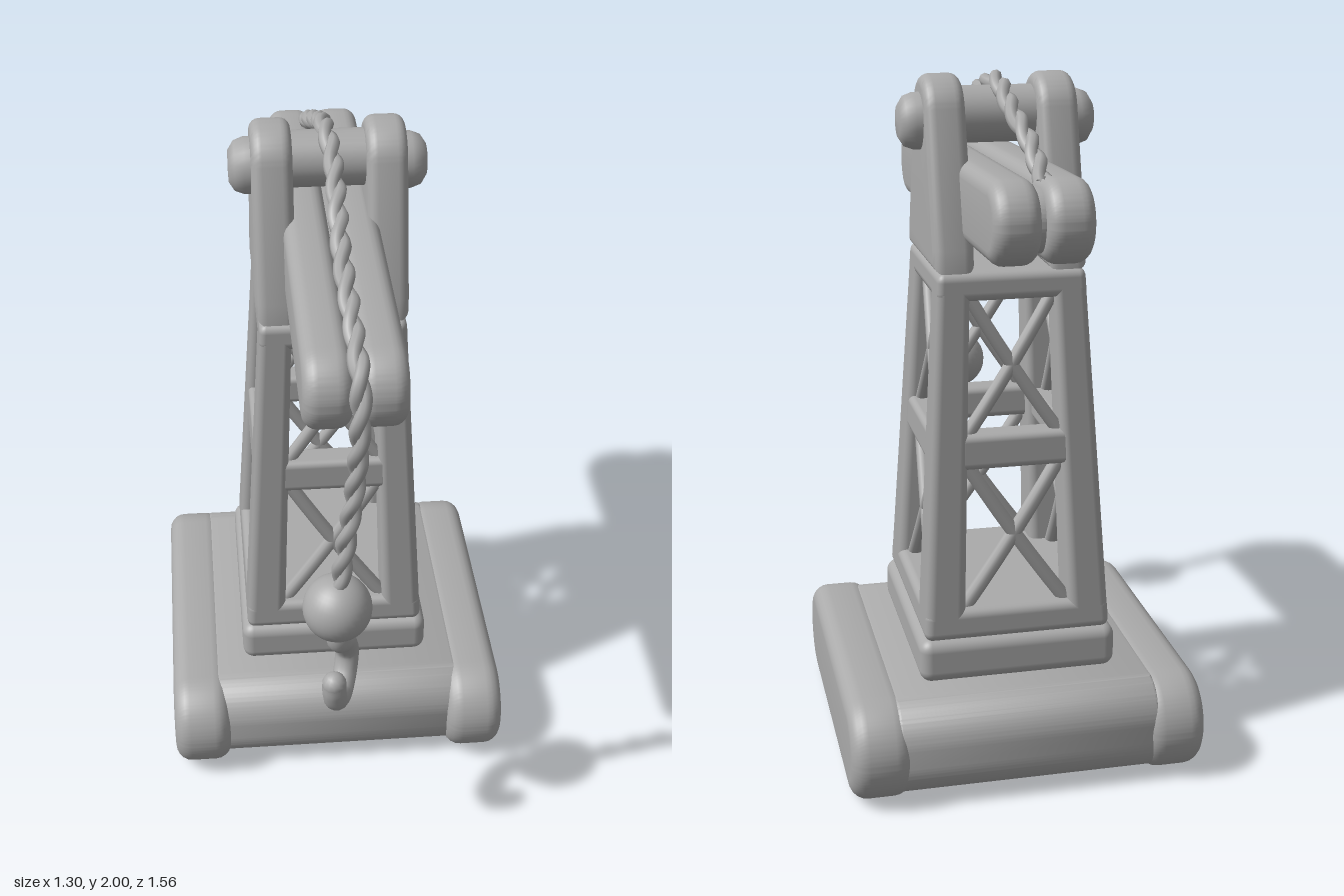
import * as THREE from 'three';
import { toCreasedNormals } from 'three/addons/utils/BufferGeometryUtils.js';
import { RoundedBoxGeometry } from 'three/addons/geometries/RoundedBoxGeometry.js';

const grey = new THREE.MeshStandardMaterial({ color: 0xaaaaaa });
grey.name = 'grey plastic';

function add(parent, name, geometry, x = 0, y = 0, z = 0) {
  const mesh = new THREE.Mesh(geometry, grey);
  mesh.name = name;
  mesh.position.set(x, y, z);
  parent.add(mesh);
  return mesh;
}

// Side outline (z, y) made into a slab of the given x width with rounded edges
function slab(shape, width, bevel) {
  const g = new THREE.ExtrudeGeometry(shape, {
    depth: width - 2 * bevel, bevelSize: bevel, bevelThickness: bevel,
    bevelOffset: -bevel, bevelSegments: 5, curveSegments: 20,
  });
  g.translate(0, 0, -(width / 2 - bevel));
  g.rotateY(-Math.PI / 2);
  return toCreasedNormals(g, 0.7);
}

// Bar with round ends, lying along z
function roundBar(length, height, width, bevel, r = height / 2 - 0.001) {
  const a = length / 2, b = height / 2, s = new THREE.Shape();
  s.absarc(a - r, b - r, r, 0, Math.PI / 2);
  s.absarc(-a + r, b - r, r, Math.PI / 2, Math.PI);
  s.absarc(-a + r, -b + r, r, Math.PI, Math.PI * 1.5);
  s.absarc(a - r, -b + r, r, Math.PI * 1.5, Math.PI * 2);
  return slab(s, width, bevel);
}

// Cylinder between two points
function strut(a, b, r) {
  const d = b.clone().sub(a);
  const g = new THREE.CylinderGeometry(r, r, d.length(), 10, 6);
  g.applyQuaternion(new THREE.Quaternion().setFromUnitVectors(new THREE.Vector3(0, 1, 0), d.normalize()));
  return g.translate((a.x + b.x) / 2, (a.y + b.y) / 2, (a.z + b.z) / 2);
}

// Narrow a tower part towards the top
function taper(g) {
  const p = g.attributes.position;
  for (let i = 0; i < p.count; i++) {
    const t = (p.getY(i) - 0.42) / 1.06;
    p.setXYZ(i, p.getX(i) * (1 - 0.236 * t), p.getY(i), p.getZ(i) * (1 - 0.277 * t));
  }
  return g;
}

function buildTower(crane) {
  const tower = new THREE.Group();
  tower.name = 'tower';
  crane.add(tower);
  const HX = 0.275, HZ = 0.325, OX = 0.155, OZ = 0.175;
  const box = (name, w, h, d, x, y, z, r) =>
    add(tower, name, taper(new RoundedBoxGeometry(w, h, d, 3, r).translate(x, y, z)));

  for (const sx of [-1, 1]) for (const sz of [-1, 1]) {
    box('cornerPost', HX - OX, 1.06, HZ - OZ, sx * (HX + OX) / 2, 0.95, sz * (HZ + OZ) / 2, 0.028);
  }
  box('towerFoot', HX * 2, 0.09, HZ * 2, 0, 0.465, 0, 0.025);
  box('towerCap', HX * 2, 0.08, HZ * 2, 0, 1.44, 0, 0.025);
  for (const s of [-1, 1]) {
    box('middleBand', OX * 2 + 0.06, 0.1, 0.1, 0, 0.97, s * (HZ - 0.055), 0.02);
    box('middleBand', 0.1, 0.1, OZ * 2 + 0.06, s * (HX - 0.055), 0.97, 0, 0.02);
    // Crossed braces in each window
    for (const [y0, y1] of [[0.5, 0.93], [1.01, 1.41]]) for (const m of [-1, 1]) {
      const zf = s * (HZ - 0.05), xf = s * (HX - 0.05);
      add(tower, 'crossBrace', taper(strut(
        new THREE.Vector3(-m * OX, y0, zf), new THREE.Vector3(m * OX, y1, zf), 0.022)));
      add(tower, 'crossBrace', taper(strut(
        new THREE.Vector3(xf, y0, -m * OZ), new THREE.Vector3(xf, y1, m * OZ), 0.022)));
    }
  }
}

function buildHead(crane) {
  // Tapered side brackets with a round top
  const s = new THREE.Shape();
  s.moveTo(-0.225, 1.475);
  s.lineTo(0.225, 1.475);
  s.lineTo(0.22, 1.54);
  s.absarc(0, 1.885, 0.115, 0.25, Math.PI - 0.25);
  s.lineTo(-0.22, 1.54);
  s.closePath();
  const bracket = slab(s, 0.115, 0.03);
  for (const m of [-1, 1]) {
    add(crane, 'bracket', bracket, m * 0.16);
    const cap = new THREE.LatheGeometry([
      [0, 0.08], [0.045, 0.078], [0.07, 0.062], [0.08, 0.035], [0.08, 0],
    ].reverse().map(([x, y]) => new THREE.Vector2(x, y)), 28);
    add(crane, 'pinCap', cap, m * 0.2, 1.87, 0).rotation.z = -m * Math.PI / 2;
  }
  add(crane, 'drum', new THREE.CylinderGeometry(0.08, 0.08, 0.3, 28), 0, 1.885, 0).rotation.z = Math.PI / 2;

  // Boom made of twin bars with a rope groove between them
  const boom = new THREE.Group();
  boom.name = 'boom';
  boom.position.set(0, 1.655, 0.127);
  boom.rotation.x = 0.03;
  crane.add(boom);
  const bar = roundBar(1.5, 0.225, 0.128, 0.04);
  for (const m of [-1, 1]) add(boom, 'boomBar', bar, m * 0.071);
  add(boom, 'boomCore', roundBar(1.42, 0.17, 0.06, 0.01));
}

// Two strands twisted around a smooth path
function buildRope(root) {
  const path = new THREE.CatmullRomCurve3([
    [-0.18, 1.77, -0.58], [-0.13, 1.85, -0.43], [-0.065, 1.92, -0.28], [-0.01, 1.975, -0.12],
    [0.04, 1.95, 0], [0.14, 1.845, 0.32], [0.235, 1.76, 0.58], [0.275, 1.71, 0.69],
    [0.282, 1.6, 0.715], [0.268, 1.4, 0.69], [0.238, 1.15, 0.675], [0.22, 0.99, 0.665],
  ].map((p) => new THREE.Vector3(...p)));
  const N = 260, frames = path.computeFrenetFrames(N);
  for (const phase of [0, Math.PI]) {
    const pts = [];
    for (let i = 0; i <= N; i++) {
      const a = phase + (i / N) * Math.PI * 2 * 11;
      pts.push(path.getPointAt(i / N)
        .addScaledVector(frames.normals[i], 0.011 * Math.cos(a))
        .addScaledVector(frames.binormals[i], 0.011 * Math.sin(a)));
    }
    add(root, 'ropeStrand', new THREE.TubeGeometry(new THREE.CatmullRomCurve3(pts), 400, 0.018, 8));
  }
}

function buildHook(root) {
  const hook = new THREE.Group();
  hook.name = 'hook';
  hook.position.set(0.217, 0, 0.665);
  root.add(hook);
  add(hook, 'hookBall', new THREE.SphereGeometry(0.096, 32, 20), 0, 0.937, 0);
  const curve = new THREE.CatmullRomCurve3([
    [0, 0.88, 0], [0.004, 0.815, -0.002], [0.01, 0.775, -0.045], [0.012, 0.71, -0.075],
    [0.012, 0.65, -0.05], [0.012, 0.622, 0.005], [0.012, 0.65, 0.06], [0.012, 0.695, 0.08], [0.012, 0.73, 0.083],
  ].map((p) => new THREE.Vector3(...p)));
  add(hook, 'hookCurve', new THREE.TubeGeometry(curve, 60, 0.034, 14));
  add(hook, 'hookTip', new THREE.SphereGeometry(0.034, 14, 10), 0.012, 0.73, 0.083);
}

export function createModel() {
  const root = new THREE.Group();
  root.name = 'toyCrane';

  // Everything but the rope and hook stands turned about the vertical axis
  const crane = new THREE.Group();
  crane.name = 'crane';
  crane.position.set(-0.005, 0, -0.125);
  crane.rotation.y = 0.323;
  root.add(crane);

  // Base with a track on each side
  const track = roundBar(1.08, 0.3, 0.175, 0.05);
  for (const m of [-1, 1]) add(crane, 'track', track, m * 0.43, 0.15, 0.013);
  add(crane, 'baseBody', roundBar(1.02, 0.285, 0.76, 0.01, 0.12), 0, 0.155, 0);
  add(crane, 'plinth', new RoundedBoxGeometry(0.58, 0.13, 0.67, 4, 0.035), 0, 0.36, 0);

  buildTower(crane);
  buildHead(crane);
  buildRope(root);
  buildHook(root);
  return root;
}
